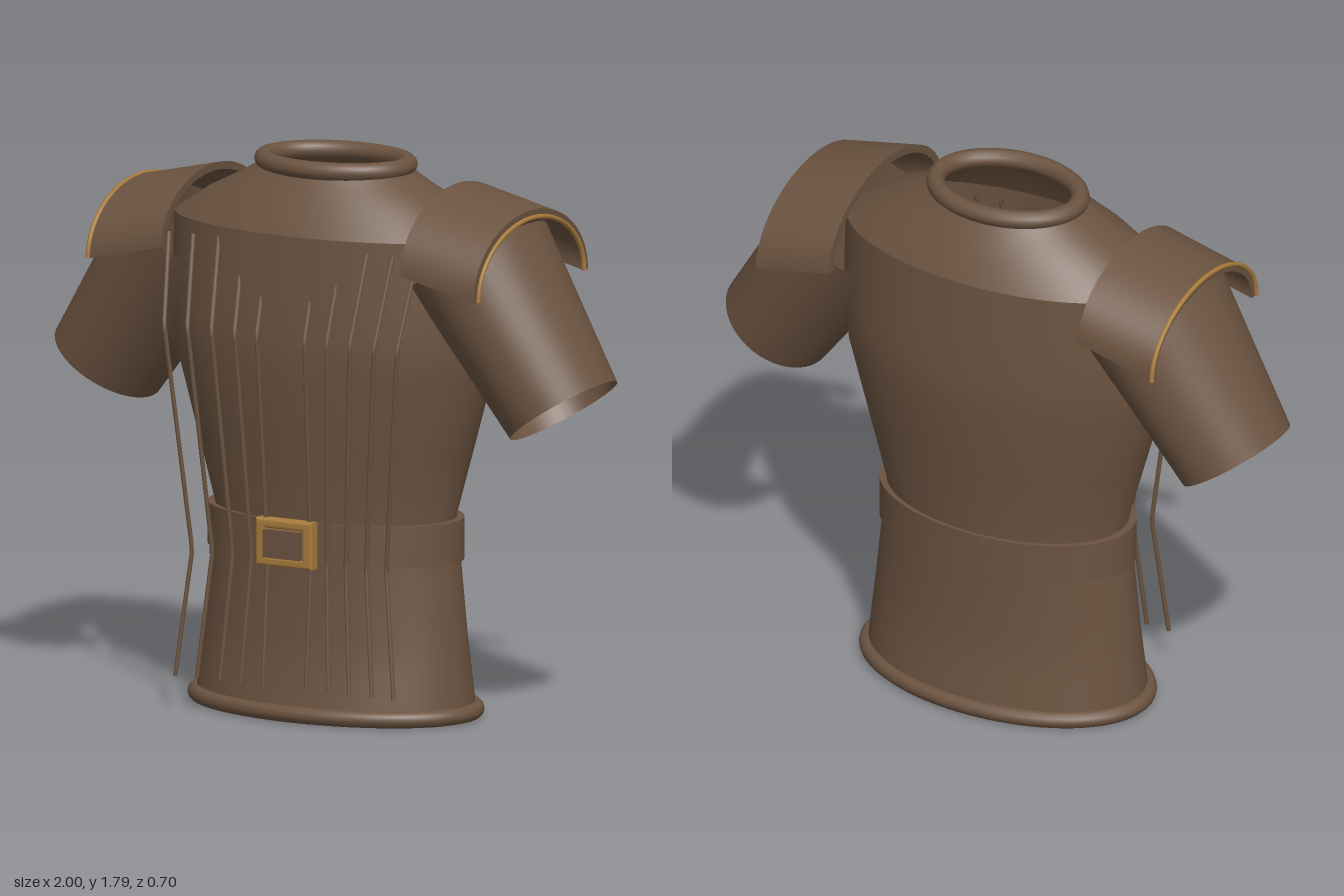
import * as THREE from 'three';
import { toCreasedNormals } from 'three/addons/utils/BufferGeometryUtils.js';

const V = (x, y, z) => new THREE.Vector3(x, y, z);

// Skin through closed rings; each ring maps an angle to a point
function loft(rings, n = 48) {
  const pos = [], idx = [];
  rings.forEach((ring, j) => {
    for (let i = 0; i < n; i++) {
      pos.push(...ring((i / n) * Math.PI * 2).toArray());
      if (j === rings.length - 1) continue;
      const a = j * n + i, b = j * n + (i + 1) % n;
      idx.push(a, a + n, b, b, a + n, b + n);
    }
  });
  const g = new THREE.BufferGeometry();
  g.setAttribute('position', new THREE.Float32BufferAttribute(pos, 3));
  g.setIndex(idx);
  g.computeVertexNormals();
  return g;
}

// Horizontal ellipse ring
const oval = ([y, rx, rz]) => (a) => V(Math.cos(a) * rx, y, Math.sin(a) * rz);

// Round roll following a horizontal ellipse
function roll(y, rx, rz, r) {
  const pts = Array.from({ length: 48 }, (_, i) => oval([y, rx, rz])((i / 48) * Math.PI * 2));
  return new THREE.TubeGeometry(new THREE.CatmullRomCurve3(pts, true), 72, r, 12, true);
}

// Curved shoulder plate: half ring extruded along x, sheared down toward the arm
function padGeometry(side, [ro, ho], [ri, hi]) {
  const s = new THREE.Shape();
  s.absellipse(0, 0, ro, ho, 0, Math.PI, false);
  s.lineTo(-ri, 0);
  s.absellipse(0, 0, ri, hi, Math.PI, 0, true);
  s.closePath();
  const g = new THREE.ExtrudeGeometry(s, { depth: 0.27, bevelEnabled: false, curveSegments: 28 });
  g.translate(0, 0, -0.135).rotateY(Math.PI / 2);
  const p = g.attributes.position;
  for (let i = 0; i < p.count; i++) p.setY(i, p.getY(i) - side * p.getX(i) * 0.23);
  g.translate(side * 0.587, 1.462, 0);
  return toCreasedNormals(g, 0.6);
}

export function createModel() {
  const root = new THREE.Group();
  const leather = new THREE.MeshStandardMaterial({ color: 0x6b5340, side: THREE.DoubleSide });
  leather.name = 'brown leather';
  const brass = new THREE.MeshStandardMaterial({ color: 0xa87c3c });
  brass.name = 'brass';
  const add = (name, geo, mat = leather) => {
    const m = new THREE.Mesh(geo, mat);
    m.name = name;
    root.add(m);
    return m;
  };

  // Body, open at neck and hem, with a separate yoke for the shoulder crease
  add('body', loft([
    [0.03, 0.487, 0.30], [0.15, 0.475, 0.28], [0.27, 0.463, 0.26], [0.5, 0.437, 0.26],
    [0.65, 0.42, 0.262], [0.88, 0.485, 0.292], [1.13, 0.555, 0.325],
    [1.25, 0.57, 0.325], [1.4, 0.575, 0.316], [1.57, 0.57, 0.303],
  ].map(oval), 64));
  add('yoke', loft([[1.57, 0.57, 0.303], [1.65, 0.45, 0.262], [1.71, 0.33, 0.215], [1.76, 0.245, 0.18]].map(oval), 64));
  add('collar', roll(1.765, 0.245, 0.18, 0.03));
  add('hem', roll(0.028, 0.488, 0.297, 0.027));

  // Belt band with its thin upper and lower lips
  const belt = loft([[0.51, 0.425, 0.25], [0.51, 0.447, 0.273], [0.645, 0.447, 0.273], [0.645, 0.41, 0.25]].map(oval), 64);
  add('belt', toCreasedNormals(belt, 0.6));

  // Buckle frame and centre plate
  const frame = new THREE.Shape();
  frame.moveTo(-0.095, -0.067).lineTo(0.095, -0.067).lineTo(0.095, 0.067).lineTo(-0.095, 0.067).closePath();
  const hole = new THREE.Path();
  hole.moveTo(-0.077, -0.055).lineTo(-0.077, 0.055).lineTo(0.077, 0.055).lineTo(0.077, -0.055).closePath();
  frame.holes.push(hole);
  const buckle = new THREE.ExtrudeGeometry(frame, {
    depth: 0.03, bevelSize: 0.009, bevelThickness: 0.008, bevelSegments: 3,
  });
  add('buckleFrame', buckle, brass).position.set(0, 0.58, 0.285);
  add('buckleBacking', new THREE.BoxGeometry(0.16, 0.12, 0.045), brass).position.set(0, 0.58, 0.292);
  add('bucklePlate', new THREE.BoxGeometry(0.136, 0.09, 0.05), leather).position.set(0, 0.578, 0.31);

  // Hanging cords: x at shoulder, waist and hem
  const cords = [
    [0.46, 0.36, 0.405], [0.37, 0.285, 0.325], [0.275, 0.21, 0.24], [0.183, 0.14, 0.163], [0.092, 0.08, 0.08],
  ];
  for (const side of [-1, 1]) {
    for (const [top, waist, low] of cords) {
      const chest = top + (waist - top) * 0.28;
      const pts = [V(side * top, 1.535, 0.262), V(side * chest, 1.25, 0.338),
        V(side * waist, 0.52, 0.285), V(side * low, 0.115, 0.315)];
      const path = new THREE.CurvePath();
      for (let i = 0; i < 3; i++) path.add(new THREE.LineCurve3(pts[i], pts[i + 1]));
      add('cord', new THREE.TubeGeometry(path, 40, 0.008, 6, false));
    }

    // Flared open sleeve
    const cuff = (cx, cy, r, rz) => (a) =>
      V(side * (cx + Math.cos(a) * r * 0.83), cy + Math.cos(a) * r * 0.56, side * Math.sin(a) * rz);
    add(side > 0 ? 'leftSleeve' : 'rightSleeve',
      loft([cuff(0.845, 1.042, 0.188, 0.203), cuff(0.688, 1.276, 0.203, 0.242), cuff(0.53, 1.51, 0.22, 0.282)]));

    // Shoulder plate and brass trim on its outer edge
    const sizes = side > 0 ? [[0.35, 0.245], [0.323, 0.218]] : [[0.323, 0.22], [0.298, 0.195]];
    add(side > 0 ? 'leftShoulderPlate' : 'rightShoulderPlate', padGeometry(side, ...sizes));
    const arc = Array.from({ length: 25 }, (_, i) => {
      const a = (i / 24) * Math.PI;
      return V(side * 0.724, 1.431 + Math.sin(a) * 0.22, Math.cos(a) * 0.323);
    });
    add('shoulderTrim', new THREE.TubeGeometry(new THREE.CatmullRomCurve3(arc), 48, 0.008, 8, false), brass);
  }
  return root;
}
